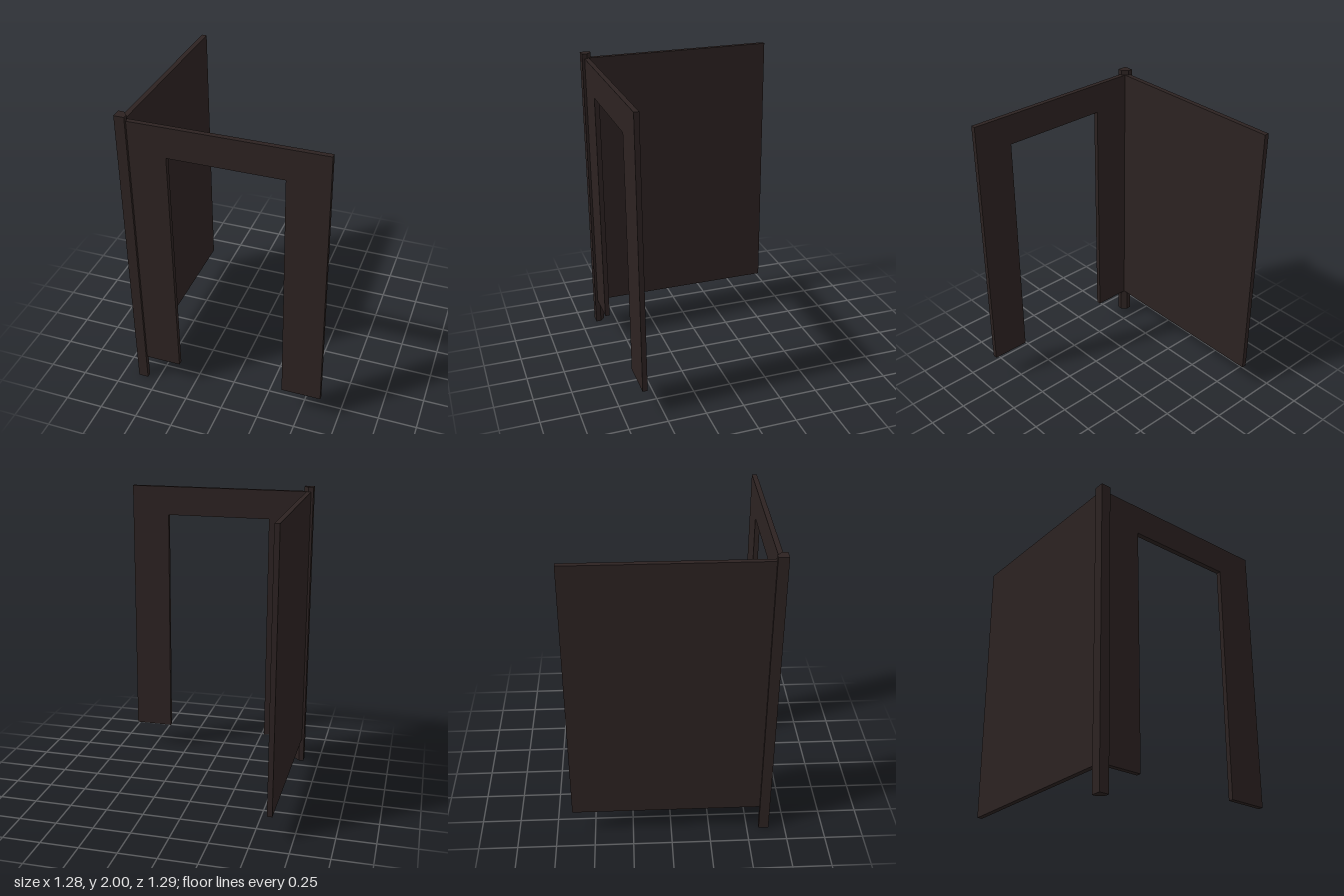
import * as THREE from 'three';

export function createModel() {
  const model = new THREE.Group();
  const darkWood = new THREE.MeshStandardMaterial({ color: 0x2c2221 });
  darkWood.name = 'darkWood';

  const bottom = 0.172, top = 1.968;
  const outline = (points) => new THREE.Shape(points.map(([x, y]) => new THREE.Vector2(x, y)));
  const add = (name, geometry) => {
    const mesh = new THREE.Mesh(geometry, darkWood);
    mesh.name = name;
    model.add(mesh);
    return mesh;
  };

  // Corner post, its inner edge chamfered where the two panels meet
  const postShape = outline([
    [-0.64, -0.644], [-0.575, -0.644], [-0.575, -0.611], [-0.607, -0.579], [-0.64, -0.579],
  ]);
  const post = new THREE.ExtrudeGeometry(postShape, { depth: 2, bevelEnabled: false });
  post.rotateX(-Math.PI / 2);
  add('cornerPost', post);

  // Front panel with a doorway open at the bottom
  const frameShape = outline([
    [-0.591, bottom], [-0.34, bottom], [-0.34, 1.77], [0.377, 1.77],
    [0.377, bottom], [0.636, bottom], [0.636, top], [-0.591, top],
  ]);
  const frame = new THREE.ExtrudeGeometry(frameShape, { depth: 0.032, bevelEnabled: false });
  add('doorwayPanel', frame).position.z = 0.595;

  // Solid side panel
  const wall = new THREE.BoxGeometry(0.033, top - bottom, 1.239);
  add('sidePanel', wall).position.set(-0.6075, (top + bottom) / 2, -0.0245);

  return model;
}
